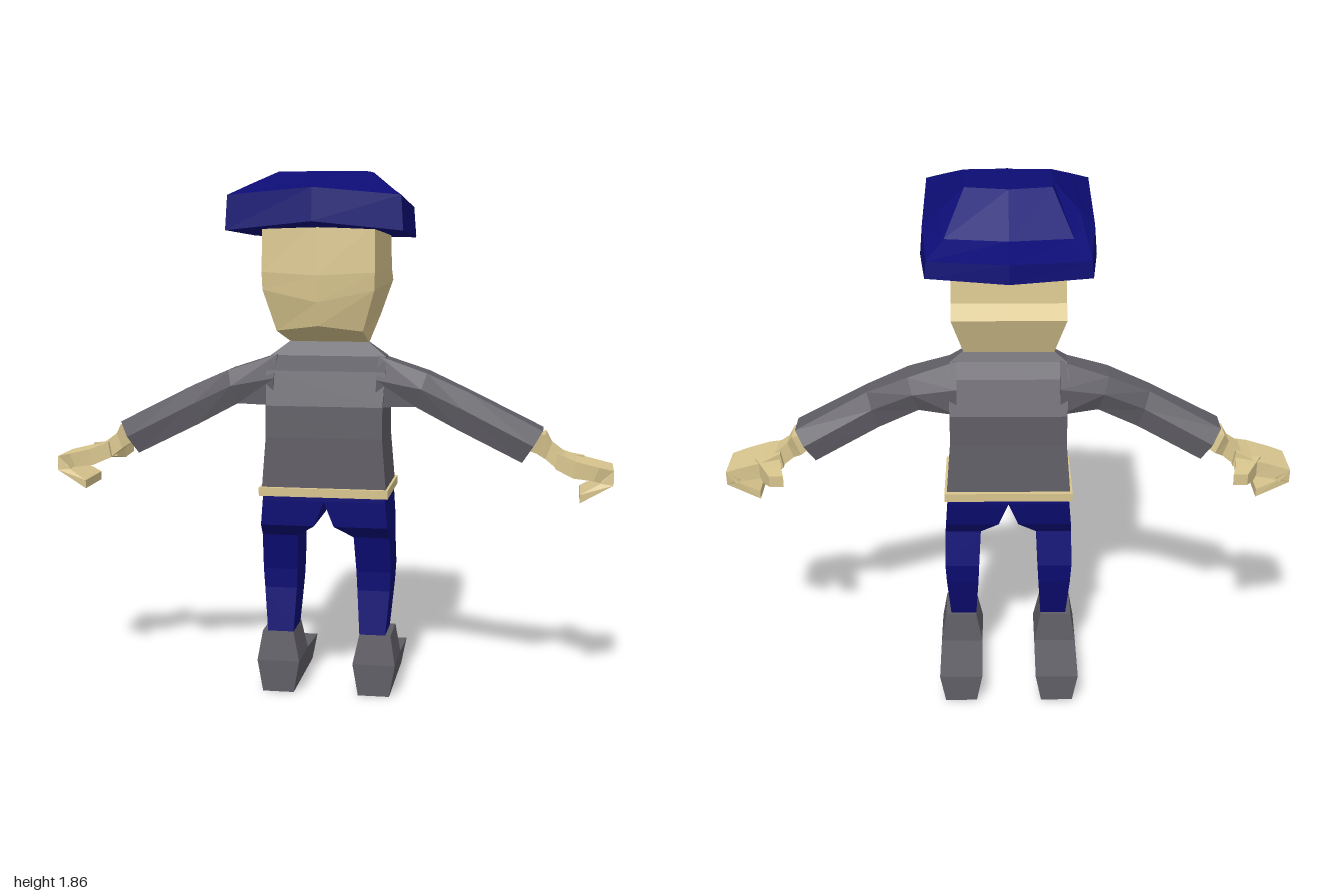
import * as THREE from 'three';

const navy = new THREE.MeshStandardMaterial({ color: 0x0c0c74 });
const skin = new THREE.MeshStandardMaterial({ color: 0xd8c58e });
const grey = new THREE.MeshStandardMaterial({ color: 0x605e65 });
navy.name = 'navy cloth';
skin.name = 'tan skin';
grey.name = 'grey cloth';

// Faceted skin over matching rings of [x, y, z] points, capped at both ends.
function loft(name, rings, material, side = 1) {
  const tris = [];
  const n = rings[0].length;
  const P = rings.map(r => r.map(p => new THREE.Vector3(p[0] * side, p[1], p[2])));
  for (let i = 0; i < P.length - 1; i++) {
    for (let j = 0; j < n; j++) {
      const k = (j + 1) % n;
      const a = P[i][j], b = P[i][k], c = P[i + 1][k], d = P[i + 1][j];
      tris.push([a, b, c], [a, c, d]);
    }
  }
  const first = P[0], last = P[P.length - 1];
  for (let j = 1; j < n - 1; j++) {
    tris.push([first[0], first[j + 1], first[j]], [last[0], last[j], last[j + 1]]);
  }
  // Turn the faces outward whichever way the rings run.
  let volume = 0;
  for (const [a, b, c] of tris) volume += a.dot(b.clone().cross(c));
  const pos = [];
  for (const [a, b, c] of tris) {
    for (const v of volume < 0 ? [a, c, b] : [a, b, c]) pos.push(v.x, v.y, v.z);
  }
  const g = new THREE.BufferGeometry();
  g.setAttribute('position', new THREE.Float32BufferAttribute(pos, 3));
  g.computeVertexNormals();
  const mesh = new THREE.Mesh(g, material);
  mesh.name = name;
  return mesh;
}

// Level rectangle: x range, height, z range.
const level = (x0, x1, y, z0, z1) => [[x0, y, z0], [x1, y, z0], [x1, y, z1], [x0, y, z1]];

// Six-sided sleeve section between a top and a bottom point, z range at its widest.
function sleeve([xt, yt], [xb, yb], z0, z1, top = 0.6, bottom = 0.8) {
  const c = (z0 + z1) / 2, h = (z1 - z0) / 2;
  const xm = xt * 0.55 + xb * 0.45, ym = yt * 0.55 + yb * 0.45;
  return [[xt, yt, c - h * top], [xt, yt, c + h * top], [xm, ym, z1],
    [xb, yb, c + h * bottom], [xb, yb, c - h * bottom], [xm, ym, z0]];
}

// Four-sided section across a limb.
const slice = ([xt, yt], [xb, yb], z0, z1) => [[xt, yt, z0], [xt, yt, z1], [xb, yb, z1], [xb, yb, z0]];

// Symmetric ring from back centre round to front centre; half = right-hand points.
const symmetric = (back, half, front) => [
  back, ...half, front, ...half.slice().reverse().map(([x, y, z]) => [-x, y, z])];

function buildHead() {
  return loft('head', [
    symmetric([0, 1.265, 0.015], [[0.14, 1.265, 0.012], [0.14, 1.265, -0.005]], [0, 1.265, -0.005]),
    symmetric([0, 1.34, 0.265], [[0.148, 1.32, 0.23], [0.15, 1.345, -0.25]], [0, 1.345, -0.25]),
    symmetric([0, 1.42, 0.28], [[0.19, 1.46, 0.26], [0.19, 1.47, -0.295]], [0, 1.47, -0.295]),
    symmetric([0, 1.51, 0.285], [[0.192, 1.52, 0.265], [0.19, 1.515, -0.25]], [0, 1.515, -0.25]),
    symmetric([0, 1.69, 0.27], [[0.19, 1.68, 0.255], [0.188, 1.65, -0.235]], [0, 1.65, -0.235]),
  ], skin);
}

function buildHat() {
  return loft('hat', [
    symmetric([0, 1.675, 0.365], [[0.27, 1.665, 0.34], [0.28, 1.64, -0.1], [0.255, 1.628, -0.31]], [0, 1.628, -0.375]),
    symmetric([0, 1.69, 0.395], [[0.295, 1.66, 0.355], [0.293, 1.635, -0.1], [0.27, 1.625, -0.325]], [0, 1.627, -0.395]),
    symmetric([0, 1.8, 0.385], [[0.288, 1.775, 0.35], [0.285, 1.735, -0.1], [0.265, 1.68, -0.32]], [0, 1.69, -0.39]),
    symmetric([0, 1.828, 0.27], [[0.22, 1.815, 0.255], [0.235, 1.78, -0.09], [0.21, 1.725, -0.225]], [0, 1.725, -0.255]),
    symmetric([0, 1.855, 0.16], [[0.15, 1.855, 0.155], [0.15, 1.855, 0], [0.145, 1.855, -0.075]], [0, 1.855, -0.105]),
  ], navy);
}

function buildTorso() {
  const rings = [
    [0.22, 0.75, -0.125, 0.152], [0.205, 0.94, -0.115, 0.15], [0.205, 1.05, -0.115, 0.145],
    [0.21, 1.17, -0.068, 0.11], [0.205, 1.218, -0.022, 0.048], [0.14, 1.267, 0, 0.018],
  ];
  return loft('sweater', rings.map(([x, y, z0, z1]) => level(-x, x, y, z0, z1)), grey);
}

function buildArm(side) {
  const arm = new THREE.Group();
  arm.name = side > 0 ? 'leftArm' : 'rightArm';
  arm.add(loft('sleeve', [
    sleeve([0.18, 1.222], [0.18, 1.05], -0.1, 0.13, 0.35, 1),
    sleeve([0.353, 1.165], [0.315, 1.05], -0.07, 0.118),
    sleeve([0.5, 1.1], [0.46, 0.972], -0.036, 0.102),
    sleeve([0.755, 0.97], [0.685, 0.86], -0.08, 0.1),
  ], grey, side));
  arm.add(loft('wrist', [
    slice([0.725, 0.95], [0.7, 0.9], -0.04, 0.045),
    slice([0.765, 0.955], [0.735, 0.885], -0.068, 0.035),
    slice([0.785, 0.92], [0.765, 0.865], -0.045, 0.025),
    slice([0.83, 0.885], [0.81, 0.83], -0.05, 0.04),
  ], skin, side));
  arm.add(loft('palm', [
    slice([0.81, 0.89], [0.8, 0.835], -0.07, 0.05),
    slice([0.87, 0.868], [0.86, 0.81], -0.095, 0.08),
    slice([0.95, 0.848], [0.93, 0.8], -0.1, 0.07),
    slice([1, 0.835], [0.965, 0.79], -0.105, 0.055),
  ], skin, side));
  arm.add(loft('fingers', [
    slice([1, 0.835], [0.95, 0.81], -0.105, 0.055),
    slice([1, 0.785], [0.955, 0.79], -0.1, 0.06),
    slice([0.885, 0.725], [0.885, 0.755], -0.095, 0.09),
  ], skin, side));
  // Thumb reaches forward and curls inward.
  const thumbRing = (x0, x1, y0, y1, z) => [[x0, y0, z], [x1, y0, z], [x1, y1, z], [x0, y1, z]];
  arm.add(loft('thumb', [
    thumbRing(0.81, 0.9, 0.82, 0.87, -0.06),
    thumbRing(0.8, 0.865, 0.805, 0.865, -0.13),
    thumbRing(0.785, 0.835, 0.82, 0.86, -0.19),
  ], skin, side));
  return arm;
}

function buildLeg(side) {
  const leg = new THREE.Group();
  leg.name = side > 0 ? 'leftLeg' : 'rightLeg';
  leg.add(loft('trouserLeg', [
    level(0, 0.215, 0.74, -0.128, 0.15),
    level(0, 0.217, 0.715, -0.128, 0.15),
    level(0.035, 0.225, 0.625, -0.11, 0.145),
    level(0.1, 0.228, 0.58, -0.08, 0.1),
    level(0.107, 0.23, 0.45, -0.105, 0.075),
    level(0.11, 0.226, 0.38, -0.098, 0.072),
    level(0.12, 0.213, 0.22, -0.055, 0.09),
  ], navy, side));
  leg.add(loft('shoeAnkle', [
    level(0.12, 0.232, 0.222, -0.07, 0.09),
    level(0.097, 0.25, 0.115, -0.08, 0.105),
    level(0.117, 0.23, 0, -0.08, 0.105),
  ], grey, side));
  const toeRing = (z, top) => [[0.117, 0, z], [0.23, 0, z], [0.25, top, z], [0.097, top, z]];
  leg.add(loft('shoeToe', [toeRing(-0.075, 0.115), toeRing(-0.3, 0.1)], grey, side));
  return leg;
}

export function createModel() {
  const model = new THREE.Group();
  model.name = 'figure';
  const belt = new THREE.Mesh(new THREE.BoxGeometry(0.455, 0.03, 0.31), skin);
  belt.name = 'belt';
  belt.position.set(0, 0.748, 0.013);
  model.add(buildHead(), buildHat(), buildTorso(), belt);
  for (const side of [1, -1]) model.add(buildArm(side), buildLeg(side));
  return model;
}
